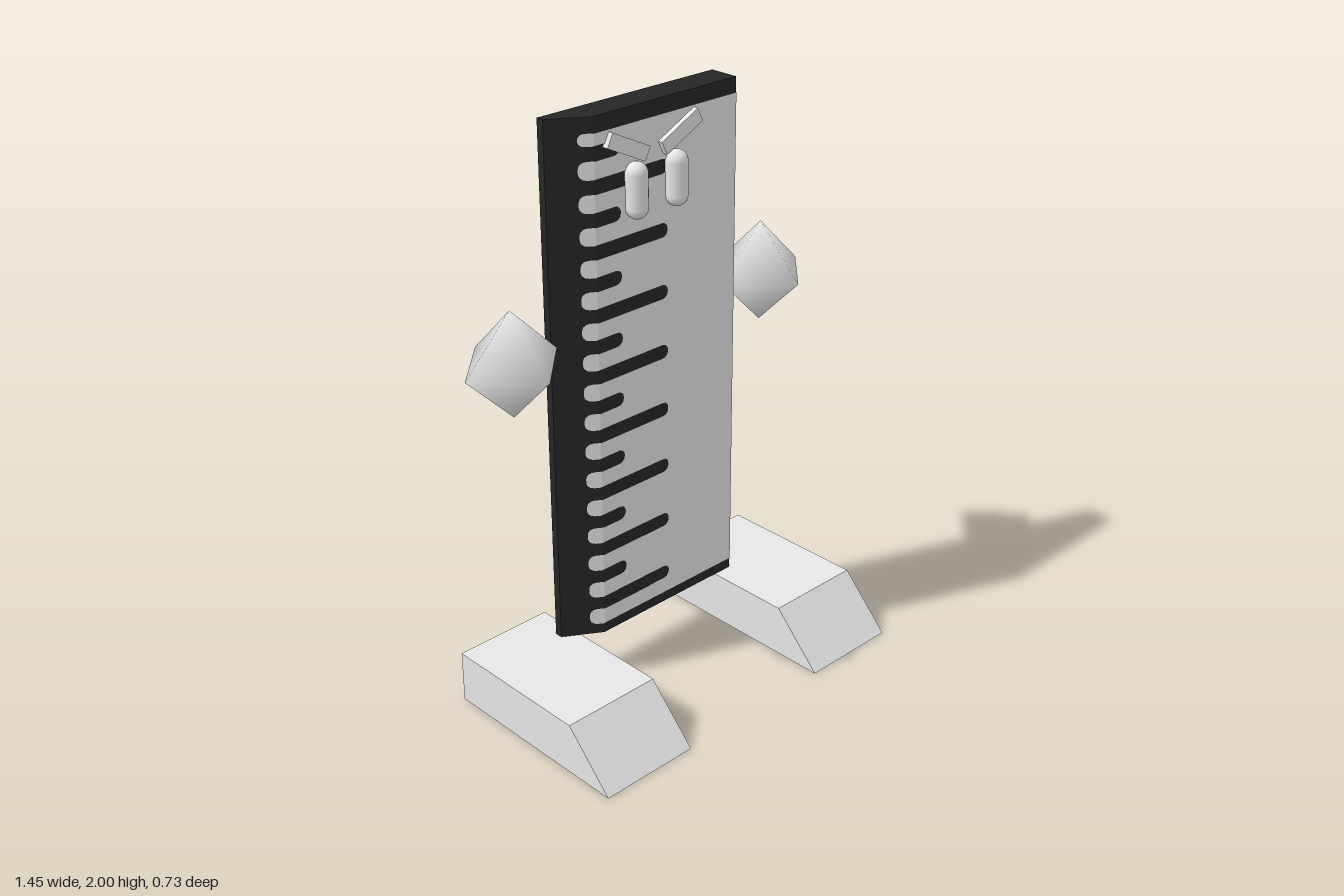
import * as THREE from 'three';

export function createModel() {
  const model = new THREE.Group();
  const black = new THREE.MeshStandardMaterial({ color: 0x262626 });
  black.name = 'black';
  const white = new THREE.MeshStandardMaterial({ color: 0xe7e7e7 });
  white.name = 'offWhite';

  const add = (name, geometry, material, x = 0, y = 0, z = 0) => {
    const mesh = new THREE.Mesh(geometry, material);
    mesh.name = name;
    mesh.position.set(x, y, z);
    model.add(mesh);
    return mesh;
  };
  const polygon = (pts) => new THREE.Shape(pts.map(([x, y]) => new THREE.Vector2(x, y)));

  // Upright ruler board with one bevelled front edge
  const frontZ = -0.128, backZ = -0.235, bevelX = -0.24, bottom = 0.184, top = 2;
  const section = polygon([
    [-0.365, -backZ], [-0.365, 0.208], [bevelX, -frontZ], [0.365, -frontZ], [0.365, -backZ],
  ]);
  const board = new THREE.ExtrudeGeometry(section, { depth: top - bottom, bevelEnabled: false });
  board.rotateX(-Math.PI / 2);
  add('board', board, black, 0, bottom, 0);

  // Pale face whose outline leaves the measuring marks open, so the black board shows through
  const y0 = 0.222, y1 = 1.95, h = 0.023;
  const marks = Array.from({ length: 16 }, (_, i) => ({
    y: 0.305 + i * 0.1054, end: i % 2 ? -0.137 : 0.06,
  })).reverse();

  function scaleFace(shift, right, flip) {
    const root = bevelX + shift, tip = root - 0.043;
    const outline = [[right, y0], [right, y1], [root, y1]];
    for (const { y, end } of marks) {
      outline.push([root, y + h]);
      for (let k = 0; k <= 6; k++) {
        const a = Math.PI / 2 - (k / 6) * Math.PI;
        outline.push([end + shift - h + h * Math.cos(a), y + h * Math.sin(a)]);
      }
      outline.push([root, y - h]);
    }
    outline.push([root, y0]);
    const outlines = [outline];

    // Rounded lobes between the marks
    const tops = [y1, ...marks.map((m) => m.y - h)];
    const bottoms = [...marks.map((m) => m.y + h), y0];
    tops.forEach((t, i) => {
      const b = bottoms[i], r = Math.min(0.022, (t - b) / 2.2);
      const lobe = [[root, b], [root, t]];
      for (let k = 0; k <= 3; k++) {
        const a = (k / 3) * Math.PI / 2;
        lobe.push([tip + r - r * Math.sin(a), t - r + r * Math.cos(a)]);
      }
      for (let k = 0; k <= 3; k++) {
        const a = (k / 3) * Math.PI / 2;
        lobe.push([tip + r - r * Math.cos(a), b + r - r * Math.sin(a)]);
      }
      outlines.push(lobe);
    });
    return new THREE.ShapeGeometry(outlines.map((o) => polygon(o.map(([x, y]) => [x * flip, y]))));
  }

  // Front face: the lobes follow the bevel
  const frontFace = scaleFace(0, 0.363, 1);
  const pos = frontFace.attributes.position;
  for (let i = 0; i < pos.count; i++) {
    pos.setZ(i, Math.min(0, (pos.getX(i) - bevelX) * 0.64));
  }
  frontFace.computeVertexNormals();
  add('frontScaleFace', frontFace, white, 0, 0, frontZ + 0.004);

  // Back face: flat, turned around
  const backFace = scaleFace(-0.055, 0.303, -1);
  backFace.rotateY(Math.PI);
  add('backScaleFace', backFace, white, 0, 0, backZ - 0.004);

  // Foot: block with a sloping toe
  const footWidth = 0.361;
  const foot = new THREE.ExtrudeGeometry(
    polygon([[-0.363, 0], [0.365, 0], [0.365, 0.184], [-0.185, 0.184]]),
    { depth: footWidth, bevelEnabled: false },
  );
  foot.translate(0, 0, -footWidth / 2);
  foot.rotateY(Math.PI / 2);

  const eye = new THREE.CapsuleGeometry(0.037, 0.111, 8, 20);
  const brow = new THREE.BoxGeometry(0.172, 0.05, 0.03);
  const hand = new THREE.SphereGeometry(0.18, 4, 2); // smooth-shaded octahedron

  for (const [side, s] of [['left', 1], ['right', -1]]) {
    add(side + 'Foot', foot, white, s > 0 ? 0.473 : -0.488, 0, 0);
    add(side + 'Hand', hand, white, s * 0.545, 1.275, -0.178);
    add(side + 'Eye', eye, white, s * 0.085, 1.738, -0.108);
    add(side + 'Brow', brow, white, s > 0 ? 0.109 : -0.115, 1.882, -0.121).rotation.z = s * 0.46;
  }
  return model;
}
